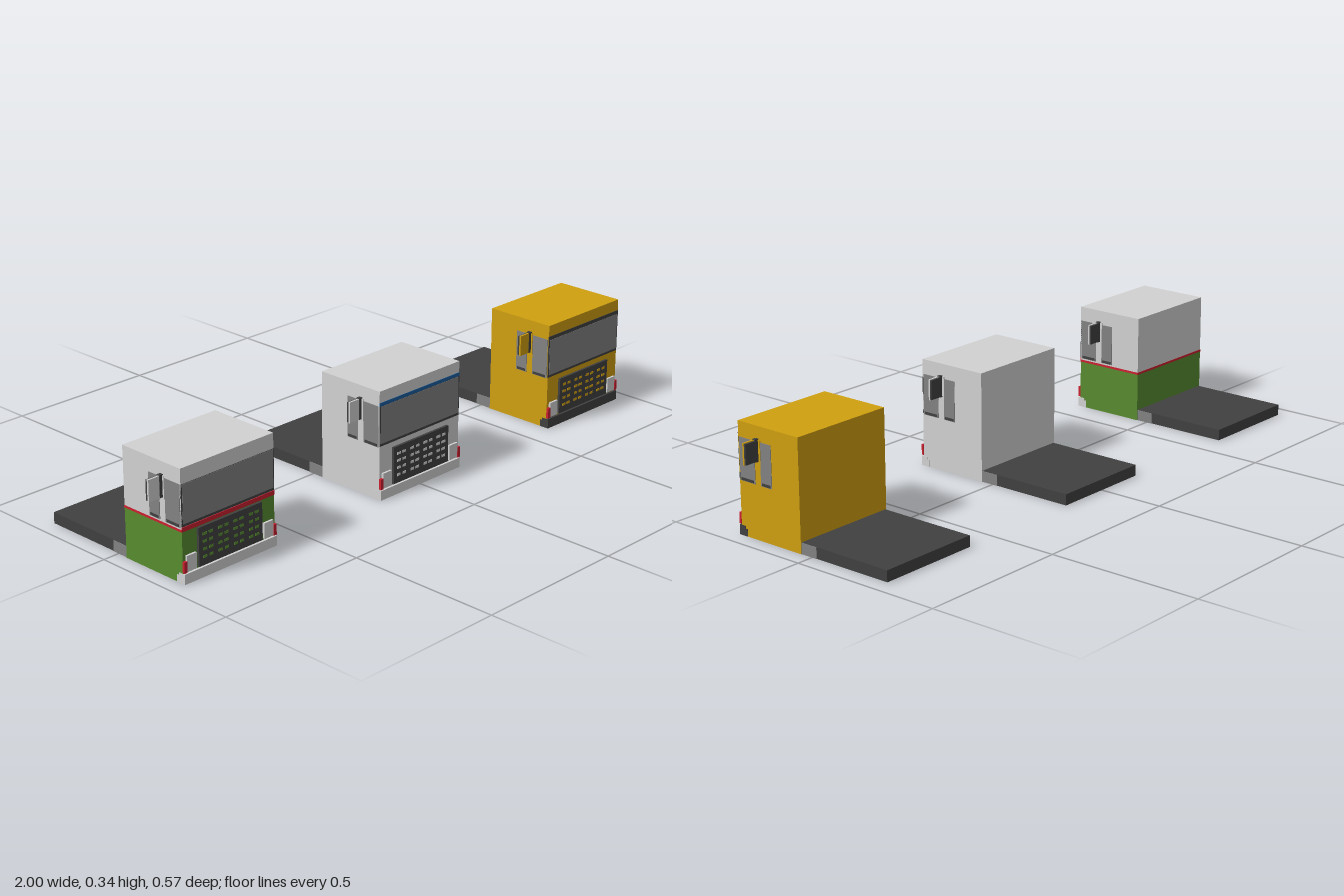
import * as THREE from 'three';

const mat = (name, color) => {
  const m = new THREE.MeshStandardMaterial({ color });
  m.name = name;
  return m;
};

export function createModel() {
  const white = mat('white', 0xd2d2d2), yellow = mat('yellow', 0xd0a010);
  const green = mat('green', 0x588c30), red = mat('red', 0xcc2030);
  const blue = mat('blue', 0x1a5f9e), grey = mat('glass grey', 0x828282);
  const dark = mat('dark grey', 0x404040);

  // box given by its limits on each axis
  const box = (parent, name, material, [x0, x1], [y0, y1], [z0, z1]) => {
    const mesh = new THREE.Mesh(new THREE.BoxGeometry(x1 - x0, y1 - y0, z1 - z0), material);
    mesh.position.set((x0 + x1) / 2, (y0 + y1) / 2, (z0 + z1) / 2);
    mesh.name = name;
    parent.add(mesh);
    return mesh;
  };
  // the same box on both sides of the cab
  const pair = (parent, name, material, [x0, x1], y, z) => {
    box(parent, name + 'Left', material, [x0, x1], y, z);
    box(parent, name + 'Right', material, [-x1, -x0], y, z);
  };

  function truck(name, { upper, lower, bumper, header, belt }) {
    const g = new THREE.Group();
    g.name = name;
    const H = 0.174, back = 0.04, front = 0.277;

    // cab shell
    box(g, 'lowerCab', lower, [-H, H], [0, 0.16], [back, front]);
    box(g, 'upperCab', upper, [-H, H], [0.16, 0.345], [back, front]);
    if (belt) {
      box(g, 'beltStripe', belt, [-H - 0.001, H + 0.001], [0.156, 0.163], [back - 0.001, front + 0.001]);
      box(g, 'frontBelt', belt, [-H, H], [0.158, 0.17], [front, front + 0.002]);
    }

    // windscreen with its dark surround and header strip
    box(g, 'windscreenFrame', dark, [-H, H], [0.171, 0.298], [front - 0.002, front + 0.001]);
    box(g, 'windscreen', grey, [-0.17, 0.17], [0.179, 0.297], [front, front + 0.002]);
    if (header) box(g, 'headerStrip', header, [-H, H], [0.298, 0.309], [front - 0.002, front + 0.0015]);

    // side windows and sills
    for (const [z0, z1] of [[0.213, 0.273], [0.147, 0.19]]) {
      pair(g, 'sideWindow', grey, [H - 0.002, H + 0.0015], [0.168, 0.298], [z0, z1]);
      pair(g, 'windowSill', dark, [H, H + 0.003], [0.17, 0.178], [z0 + 0.005, z1 - 0.005]);
    }

    // mirrors: coloured front shell, dark back, dark arm
    pair(g, 'mirrorShell', upper, [0.186, 0.226], [0.24, 0.306], [0.2, 0.206]);
    pair(g, 'mirrorBack', dark, [0.186, 0.226], [0.242, 0.304], [0.194, 0.2]);
    pair(g, 'mirrorArm', dark, [0.17, 0.187], [0.24, 0.308], [0.195, 0.207]);
    pair(g, 'mirrorMount', upper, [H - 0.002, H + 0.003], [0.235, 0.305], [0.188, 0.212]);

    // grille with four columns of body coloured slots
    box(g, 'grille', dark, [-0.12, 0.12], [0.036, 0.154], [front, 0.285]);
    for (let c = 0; c < 4; c++) {
      for (let r = 0; r < 4; r++) {
        const x = (c - 1.5) * 0.058, y = 0.062 + r * 0.023;
        box(g, 'grilleSlot', lower, [x - 0.019, x - 0.004], [y - 0.004, y + 0.004], [0.284, 0.286]);
        box(g, 'grilleSlot', lower, [x + 0.004, x + 0.019], [y - 0.004, y + 0.004], [0.284, 0.286]);
      }
    }

    // bumper, headlights and marker lights
    box(g, 'bumper', bumper, [-H - 0.001, H + 0.001], [0, 0.023], [0.253, 0.285]);
    box(g, 'bumperTop', bumper, [-H - 0.001, H + 0.001], [0.023, 0.031], [0.261, 0.285]);
    pair(g, 'headlight', white, [0.128, 0.164], [0.036, 0.084], [front, 0.284]);
    pair(g, 'markerLight', red, [0.164, H + 0.001], [0.034, 0.068], [front, 0.285]);

    // chassis deck with grey side plates next to the cab
    box(g, 'chassisDeck', dark, [-0.17, 0.17], [0, 0.035], [-0.285, back]);
    pair(g, 'chassisSidePlate', grey, [0.168, 0.172], [0, 0.0345], [-0.018, back]);
    return g;
  }

  const model = new THREE.Group();
  model.name = 'truckCabs';
  const greenTruck = truck('greenTruck', { upper: white, lower: green, bumper: white, belt: red });
  const whiteTruck = truck('whiteTruck', { upper: white, lower: white, bumper: white, header: blue });
  const yellowTruck = truck('yellowTruck', { upper: yellow, lower: yellow, bumper: dark, header: dark });
  greenTruck.position.set(-0.774, 0, -0.003);
  whiteTruck.position.x = 0.002;
  yellowTruck.position.x = 0.774;
  model.add(greenTruck, whiteTruck, yellowTruck);
  return model;
}
